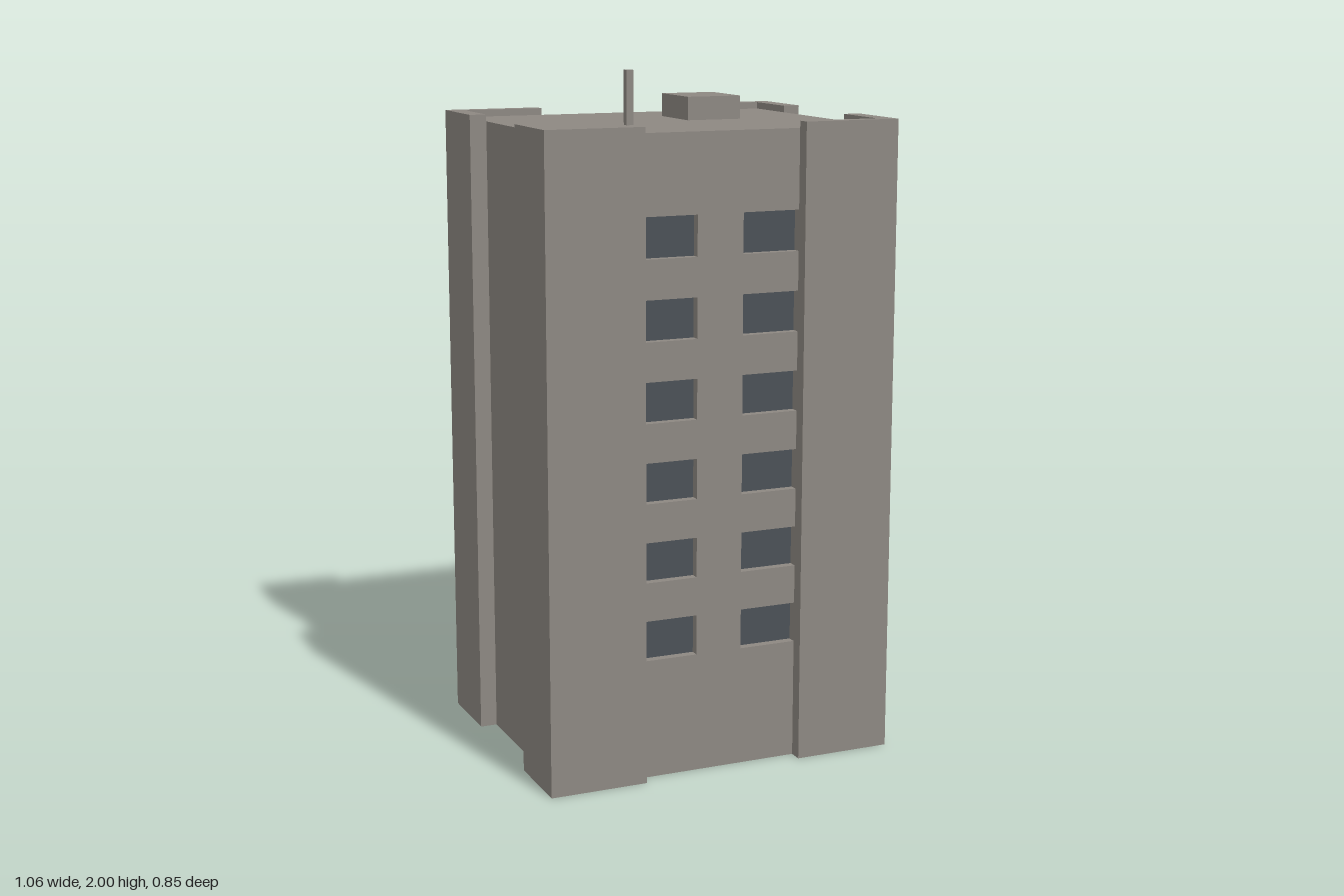
import * as THREE from 'three';

const CORE_X = 0.482, CORE_Z = 0.387, ROOF = 1.845, RECESS = 0.03;

export function createModel() {
  const model = new THREE.Group();
  model.name = 'towerBlock';
  const concrete = new THREE.MeshStandardMaterial({ name: 'concrete', color: 0x8d8882 });
  const glass = new THREE.MeshStandardMaterial({ name: 'glass', color: 0x4b5157 });

  const add = (name, geometry, material, parent = model) => {
    const mesh = new THREE.Mesh(geometry, material);
    mesh.name = name;
    parent.add(mesh);
    return mesh;
  };
  // Box given by its lowest and highest corners
  const block = (name, [x0, y0, z0], [x1, y1, z1], material, parent) =>
    add(name, new THREE.BoxGeometry(x1 - x0, y1 - y0, z1 - z0), material, parent)
      .position.set((x0 + x1) / 2, (y0 + y1) / 2, (z0 + z1) / 2);
  const rectangle = (x0, y0, x1, y1, Type) => new Type([
    [x0, y0], [x1, y0], [x1, y1], [x0, y1],
  ].map(([x, y]) => new THREE.Vector2(x, y)));

  // Core of the building, behind the two window walls
  const inner = CORE_Z - RECESS;
  block('core', [-CORE_X, 0, -inner], [CORE_X, ROOF, inner], concrete);

  // Front and back walls with six rows of recessed windows
  const wallShape = rectangle(-CORE_X, 0, CORE_X, ROOF, THREE.Shape);
  const openings = [];
  for (let floor = 0; floor < 6; floor++) {
    const y = 0.35 + floor * 0.23;
    for (const x of [-0.242, 0.07]) openings.push([x, y, x + 0.172, y + 0.117]);
  }
  for (const o of openings) wallShape.holes.push(rectangle(...o, THREE.Path));
  const wallGeometry = new THREE.ExtrudeGeometry(wallShape, { depth: RECESS, bevelEnabled: false });

  for (const [side, turn] of [['front', 0], ['back', Math.PI]]) {
    const facade = new THREE.Group();
    facade.name = side + 'Facade';
    facade.rotation.y = turn;
    model.add(facade);
    add(side + 'Wall', wallGeometry, concrete, facade).position.z = inner;
    for (const [x0, y0, x1, y1] of openings) {
      block(side + 'Window', [x0, y0, inner - 0.001], [x1, y1, inner + 0.004], glass, facade);
    }
  }

  // L-shaped corner piers, rising slightly above the roof as a parapet
  for (const sx of [-1, 1]) {
    for (const sz of [-1, 1]) {
      const outline = [
        [0.242, CORE_Z], [CORE_X, CORE_Z], [CORE_X, 0.195],
        [0.532, 0.195], [0.532, 0.427], [0.242, 0.427],
      ].map(([x, z]) => new THREE.Vector2(x * sx, -z * sz));
      const pier = new THREE.ExtrudeGeometry(new THREE.Shape(outline), { depth: 1.865, bevelEnabled: false });
      add('cornerPier', pier.rotateX(-Math.PI / 2), concrete);
    }
  }

  // Roof fittings
  block('roofHouse', [0.073, ROOF, -0.197], [0.24, 1.913, -0.002], concrete);
  block('antenna', [-0.166, ROOF, 0.086], [-0.145, 2, 0.108], concrete);

  return model;
}
